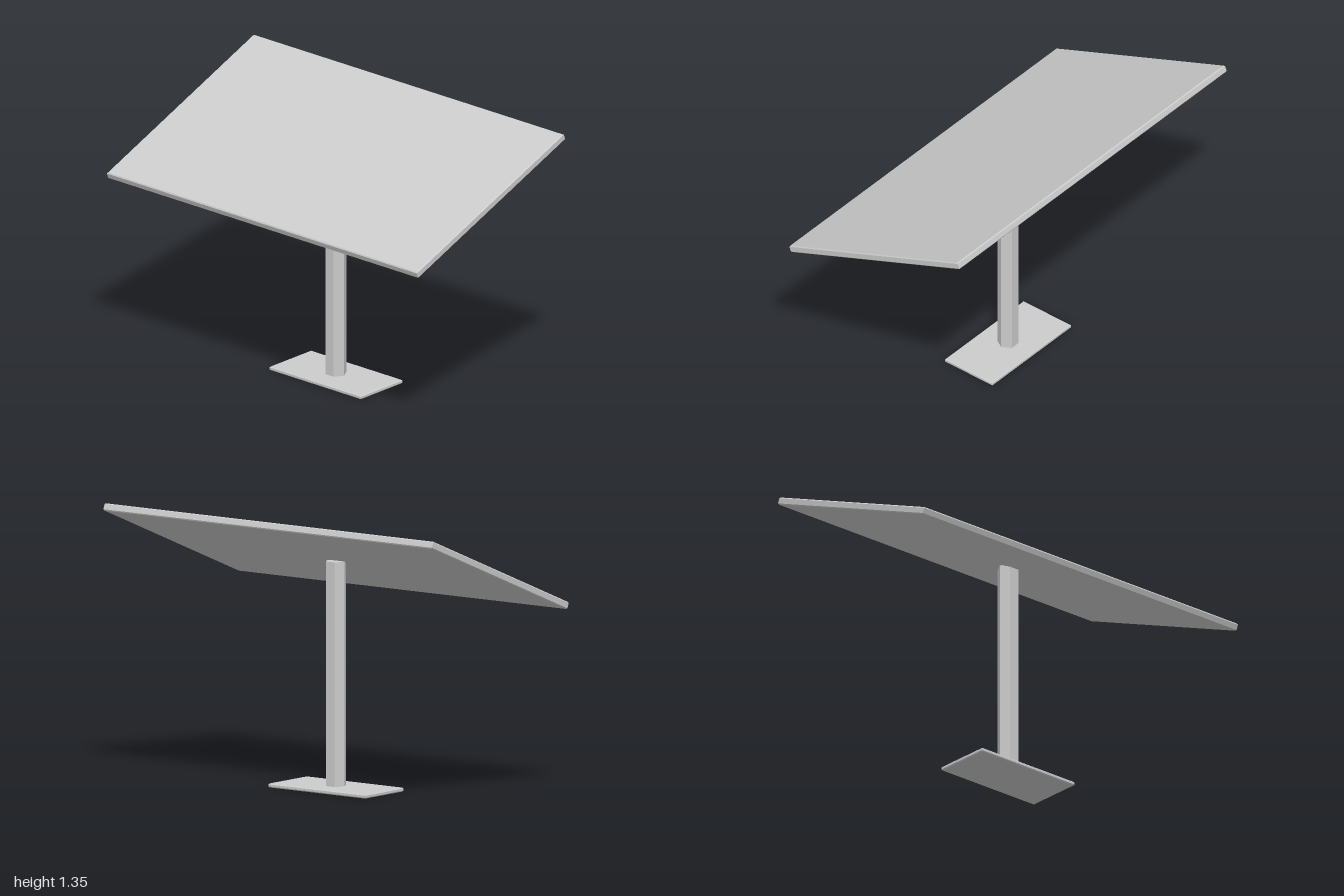
import * as THREE from 'three';

const material = new THREE.MeshStandardMaterial({ color: 0xcccccc, flatShading: true });

// Flat slab centred on the origin, with a small chamfer on its top and bottom edges
function chamferedSlab(name, width, height, depth, chamfer) {
  const x = width / 2 - chamfer, z = depth / 2 - chamfer;
  const outline = new THREE.Shape([
    new THREE.Vector2(-x, -z), new THREE.Vector2(x, -z),
    new THREE.Vector2(x, z), new THREE.Vector2(-x, z),
  ]);
  const geometry = new THREE.ExtrudeGeometry(outline, {
    depth: height - 2 * chamfer,
    bevelEnabled: true, bevelSegments: 1, bevelSize: chamfer, bevelThickness: chamfer,
  });
  geometry.rotateX(-Math.PI / 2);
  geometry.center();
  const mesh = new THREE.Mesh(geometry, material);
  mesh.name = name;
  return mesh;
}

export function createModel() {
  const model = new THREE.Group();
  model.name = 'tiltedPanelOnPost';

  // Foot plate
  const base = chamferedSlab('basePlate', 0.295, 0.02, 0.59, 0.005);
  base.position.y = 0.01;

  // Hexagonal post, one edge facing the front
  const post = new THREE.Mesh(new THREE.CylinderGeometry(0.052, 0.052, 1.09, 6), material);
  post.name = 'post';
  post.position.y = 0.56;

  // Tilted panel, raised on its left side
  const panel = chamferedSlab('panel', 1.125, 0.036, 2, 0.005);
  panel.position.y = 1.128;
  panel.rotation.z = THREE.MathUtils.degToRad(21.7);

  model.add(base, post, panel);
  return model;
}
